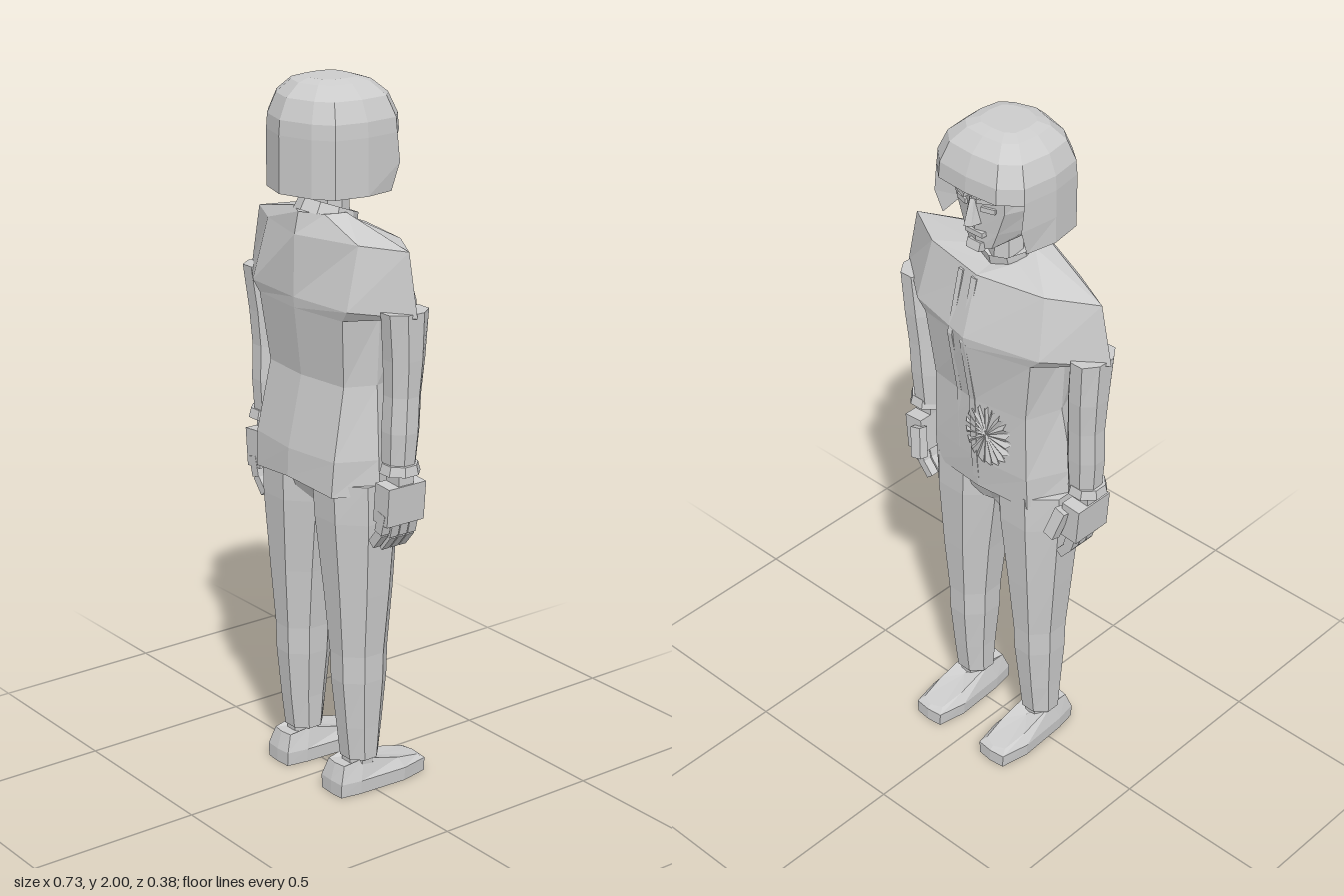
import * as THREE from 'three';

const grey = new THREE.MeshStandardMaterial({ color: 0xcccccc, flatShading: true, side: THREE.DoubleSide });
grey.name = 'plain grey';

// Joins rings of [x, y, z] points, listed bottom to top and counter-clockwise from above
function loft(rings, { closed = true, caps = true } = {}) {
  const pos = [], n = rings[0].length;
  const tri = (a, b, c) => pos.push(...a, ...b, ...c);
  for (let r = 0; r < rings.length - 1; r++) {
    for (let i = 0; i < (closed ? n : n - 1); i++) {
      const j = (i + 1) % n, lo = rings[r], hi = rings[r + 1];
      tri(lo[i], lo[j], hi[j]);
      tri(lo[i], hi[j], hi[i]);
    }
  }
  if (caps) {
    const mid = ring => [0, 1, 2].map(k => ring.reduce((s, p) => s + p[k], 0) / n);
    const lo = rings[0], hi = rings[rings.length - 1], a = mid(lo), b = mid(hi);
    for (let i = 0; i < n; i++) {
      const j = (i + 1) % n;
      tri(a, lo[j], lo[i]);
      tri(b, hi[i], hi[j]);
    }
  }
  const g = new THREE.BufferGeometry();
  g.setAttribute('position', new THREE.Float32BufferAttribute(pos, 3));
  g.computeVertexNormals();
  return g;
}

// Full ring from a half outline [x, z, optional y], running from back centre to front centre
function mirrorRing(y, half, cx = 0) {
  const right = half.map(([x, z, py = y]) => [cx + x, py, z]);
  const left = half.slice(1, -1).reverse().map(([x, z, py = y]) => [cx - x, py, z]);
  return [...right, ...left];
}

// Eight-sided limb from rows of [y, centre x, centre z, radius x, radius z]
function limb(rows) {
  return loft(rows.map(([y, cx, cz, rx, rz]) => Array.from({ length: 8 }, (_, i) => {
    const a = (i + 0.5) * Math.PI / 4;
    return [cx + Math.sin(a) * rx * 1.08, y, cz + Math.cos(a) * rz * 1.08];
  })));
}

export function createModel() {
  const model = new THREE.Group();
  model.name = 'standingFigure';

  function add(parent, name, geo, p = [0, 0, 0], rot = [0, 0, 0]) {
    const m = new THREE.Mesh(geo, grey);
    m.name = name;
    m.position.set(...p);
    m.rotation.set(...rot);
    parent.add(m);
    return m;
  }
  const box = (w, h, d) => new THREE.BoxGeometry(w, h, d);

  // Jacket with broad shoulders and a shelf under the arms
  add(model, 'jacket', loft([
    mirrorRing(0.9, [[0, 0.165, 0.92], [0.17, 0.145], [0.235, 0.03], [0.17, -0.085], [0, -0.1]]),
    mirrorRing(1.0, [[0, 0.162], [0.175, 0.14], [0.228, 0.03], [0.17, -0.09], [0, -0.108]]),
    mirrorRing(1.2, [[0, 0.118], [0.165, 0.1], [0.2, 0.015], [0.165, -0.09], [0, -0.115]]),
    mirrorRing(1.39, [[0, 0.14], [0.185, 0.12], [0.21, 0.015], [0.19, -0.1], [0, -0.15]]),
    mirrorRing(1.42, [[0, 0.142], [0.21, 0.125], [0.367, 0.015], [0.22, -0.1], [0, -0.153]]),
    mirrorRing(1.59, [[0, 0.138], [0.2, 0.08], [0.33, 0.015], [0.2, -0.06], [0, -0.1]]),
    mirrorRing(1.65, [[0, 0.125], [0.07, 0.09], [0.085, 0.03], [0.07, -0.02, 1.62], [0, -0.05, 1.6]]),
  ]));

  // Front opening edges
  for (const [name, x, w] of [['frontSeam', 0.005, 0.01], ['frontFlap', 0.06, 0.008]]) {
    const rows = [[0.93, -0.097], [1.0, -0.104], [1.2, -0.111], [1.4, -0.145], [1.58, -0.1]];
    add(model, name, loft(rows.map(([y, z]) => {
      const zz = z + x * 0.15;
      return [[x + w, y, zz + 0.01], [x + w, y, zz - 0.006], [x - w, y, zz - 0.006], [x - w, y, zz + 0.01]];
    })));
  }

  // Fan of creased cloth on the belly
  const fan = [], count = 36;
  for (let i = 0; i < count; i++) {
    const rim = k => {
      const a = (k % count) / count * Math.PI * 2, r = k % 2 ? 0.075 : 0.095;
      const x = -0.04 + Math.cos(a) * r * 0.9;
      return [x, 1.1 + Math.sin(a) * r * 1.15, -0.106 + Math.abs(x) * 0.12 - (k % 2 ? 0.012 : 0)];
    };
    fan.push(-0.04, 1.1, -0.112, ...rim(i + 1), ...rim(i));
  }
  const fanGeo = new THREE.BufferGeometry();
  fanGeo.setAttribute('position', new THREE.Float32BufferAttribute(fan, 3));
  fanGeo.computeVertexNormals();
  add(model, 'creasedCloth', fanGeo);

  // Collar and neck
  add(model, 'collar', new THREE.CylinderGeometry(0.082, 0.088, 0.035, 10, 1, true), [0, 1.64, 0.03], [-0.35, 0, 0]);
  add(model, 'neck', new THREE.CylinderGeometry(0.05, 0.055, 0.18, 8), [0, 1.66, 0.02]);

  // Head with a narrow jaw
  const face = new THREE.Group();
  face.name = 'face';
  model.add(face);
  add(face, 'head', loft([
    mirrorRing(1.7, [[0, 0.06], [0.055, 0.04], [0.075, 0, 1.7], [0.04, -0.085, 1.68], [0, -0.1, 1.67]]),
    mirrorRing(1.73, [[0, 0.1], [0.08, 0.07], [0.1, 0], [0.06, -0.085], [0, -0.105]]),
    mirrorRing(1.8, [[0, 0.13], [0.1, 0.08], [0.12, 0], [0.085, -0.085], [0, -0.112]]),
    mirrorRing(1.86, [[0, 0.13], [0.1, 0.08], [0.12, 0], [0.09, -0.09], [0, -0.12]]),
    mirrorRing(1.92, [[0, 0.1], [0.08, 0.06], [0.1, 0], [0.07, -0.07], [0, -0.09]]),
  ]));
  add(face, 'nose', loft([
    [[0.02, 1.755, -0.1], [0.012, 1.755, -0.13], [0, 1.76, -0.146], [-0.012, 1.755, -0.13], [-0.02, 1.755, -0.1]],
    [[0.01, 1.83, -0.1], [0.008, 1.83, -0.115], [0, 1.83, -0.122], [-0.008, 1.83, -0.115], [-0.01, 1.83, -0.1]],
  ]));
  add(face, 'mouth', box(0.06, 0.014, 0.02), [0, 1.725, -0.1]);
  add(face, 'chin', box(0.045, 0.025, 0.025), [0, 1.685, -0.1], [0.3, 0, 0]);

  // Bobbed hair: open at the face below, closed dome above
  const outline = [[0, 0.186], [0.1, 0.155], [0.15, 0.115], [0.165, 0.02], [0.153, -0.085], [0.1, -0.132], [0, -0.14]];
  const dome = (y, s, cz = 0.025) => mirrorRing(y, outline.map(([x, z]) => [x * s, cz + (z - cz) * s]));
  const curtain = (y, edge) => {
    const half = [...outline.slice(0, 4), edge];
    const pts = half.map(([x, z]) => [x, y, z]);
    return [...half.slice(1).reverse().map(([x, z]) => [-x, y, z]), ...pts];
  };
  add(model, 'hairSides', loft([
    curtain(1.705, [0.148, -0.07]), curtain(1.78, [0.152, -0.095]), curtain(1.86, [0.153, -0.085]),
  ], { closed: false, caps: false }));
  add(model, 'hairTop', loft([dome(1.855, 1), dome(1.9, 0.98), dome(1.955, 0.84), dome(1.99, 0.6), dome(2, 0.4)], { caps: true }));

  for (const [side, s] of [['left', 1], ['right', -1]]) {
    // Eyes and brows
    add(face, side + 'Eye', box(0.04, 0.014, 0.012), [s * 0.045, 1.805, -0.1], [0, -s * 0.3, 0]);
    add(face, side + 'Brow', box(0.055, 0.012, 0.02), [s * 0.045, 1.835, -0.105], [0, -s * 0.3, s * 0.15]);

    // Sleeve and cuff
    add(model, side + 'Sleeve', limb([
      [1.0, s * 0.29, 0.012, 0.045, 0.042], [1.1, s * 0.293, 0.01, 0.05, 0.048],
      [1.2, s * 0.295, 0.006, 0.048, 0.048], [1.3, s * 0.3, 0.005, 0.05, 0.055],
      [1.43, s * 0.308, 0.01, 0.048, 0.065],
    ]));
    add(model, side + 'Cuff', limb([[0.985, s * 0.298, 0.014, 0.052, 0.053], [1.012, s * 0.298, 0.014, 0.047, 0.046]]));

    // Hand with wrist, palm, curled fingers and thumb
    const hand = new THREE.Group();
    hand.name = side + 'Hand';
    model.add(hand);
    add(hand, 'wrist', box(0.055, 0.06, 0.05), [s * 0.295, 0.97, 0.012]);
    add(hand, 'palm', box(0.06, 0.11, 0.125), [s * 0.293, 0.9, 0.01], [0, 0, -s * 0.08]);
    for (let i = 0; i < 4; i++) {
      const drop = i === 0 ? 0.012 : 0;
      add(hand, 'finger', box(0.03, 0.06, 0.027), [s * 0.288, 0.835 + drop, 0.06 - i * 0.03], [0, 0, -s * 0.25]);
      add(hand, 'fingertip', box(0.026, 0.055, 0.025), [s * 0.265, 0.785 + drop, 0.058 - i * 0.029], [0, 0, -s * 0.7]);
    }
    add(hand, 'thumb', box(0.035, 0.09, 0.03), [s * 0.262, 0.895, -0.066], [0.25, 0, -s * 0.25]);

    // Trouser leg
    add(model, side + 'Leg', limb([
      [0.1, s * 0.13, 0.018, 0.054, 0.05], [0.2, s * 0.13, 0.018, 0.058, 0.062],
      [0.34, s * 0.128, 0.018, 0.068, 0.076], [0.42, s * 0.127, 0.018, 0.07, 0.078],
      [0.6, s * 0.125, 0.018, 0.088, 0.092], [0.82, s * 0.118, 0.02, 0.112, 0.108],
      [0.93, s * 0.115, 0.022, 0.115, 0.11],
    ]));
    add(model, side + 'Ankle', limb([[0.05, s * 0.13, 0.02, 0.042, 0.042], [0.13, s * 0.13, 0.02, 0.045, 0.045]]));

    // Shoe
    const sole = [[0, 0.115], [0.045, 0.112], [0.055, 0.05], [0.062, -0.1], [0.045, -0.185], [0, -0.19]];
    add(model, side + 'Shoe', loft([
      mirrorRing(0, sole, s * 0.127),
      mirrorRing(0.04, sole.map(([x, z]) => [x * 1.04, z]), s * 0.127),
      mirrorRing(0.09, [[0, 0.1], [0.036, 0.095], [0.042, 0.03, 0.1], [0.045, -0.09, 0.068], [0.036, -0.165, 0.052], [0, -0.178, 0.05]], s * 0.127),
    ]));
  }

  // Seat of the trousers
  add(model, 'seat', loft([
    mirrorRing(0.82, [[0, 0.06], [0.08, 0.09], [0.12, 0.02], [0.08, -0.06], [0, -0.04]]),
    mirrorRing(0.93, [[0, 0.125], [0.13, 0.12], [0.2, 0.02], [0.13, -0.085], [0, -0.09]]),
  ]));

  return model;
}
